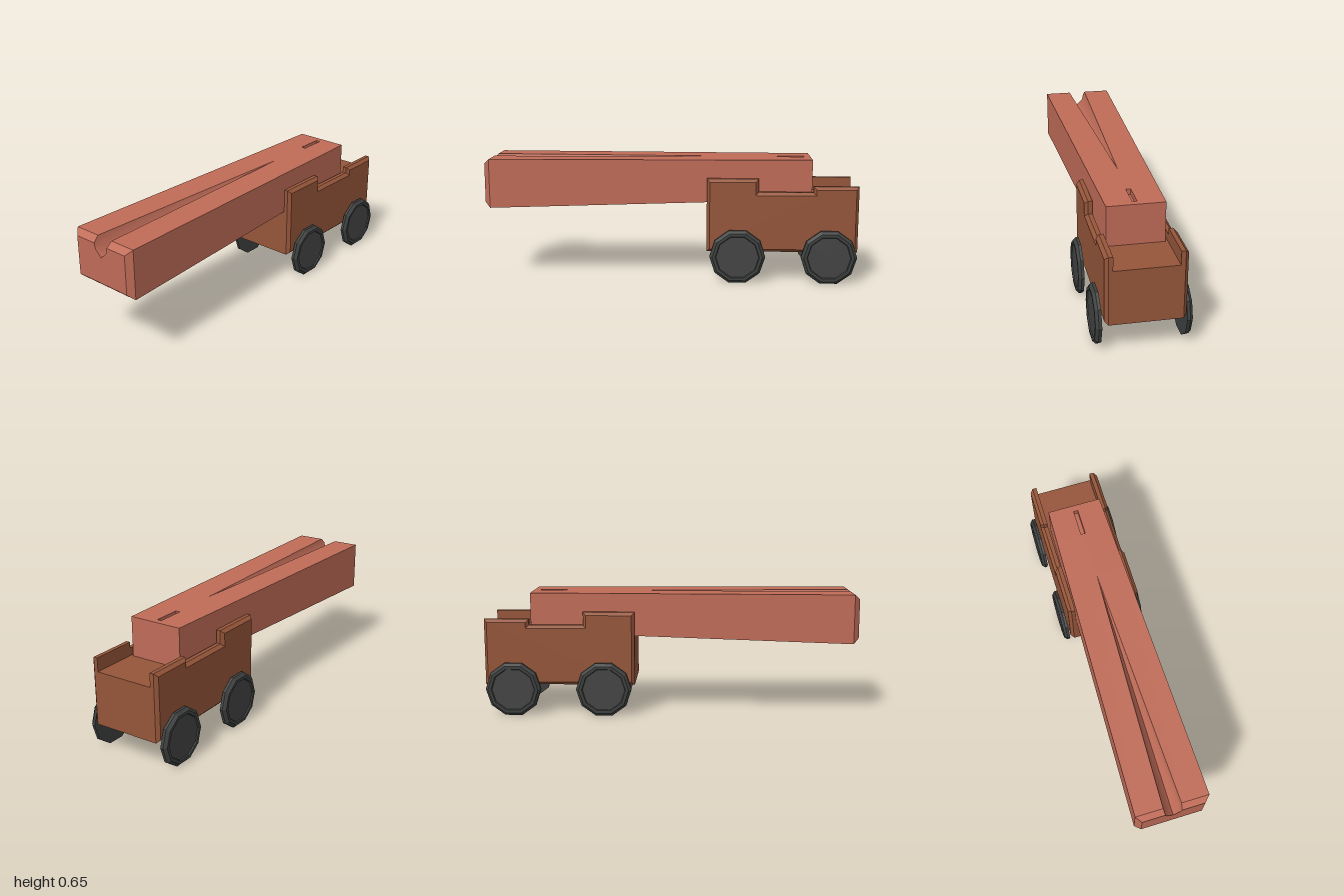
import * as THREE from 'three';
import { toCreasedNormals } from 'three/addons/utils/BufferGeometryUtils.js';

const mat = (color) => new THREE.MeshStandardMaterial({ color });

// Skin over cross-sections { z, pts } (counter-clockwise, z ascending), capped at both ends
function loft(rings) {
  const n = rings[0].pts.length;
  const pos = rings.flatMap(r => r.pts.flatMap(([x, y]) => [x, y, r.z]));
  const index = [];
  for (let r = 0; r < rings.length - 1; r++) {
    for (let i = 0; i < n; i++) {
      const a = r * n + i, b = r * n + (i + 1) % n;
      index.push(a, b, b + n, a, b + n, a + n);
    }
  }
  const cap = (r, flip) => {
    const pts = rings[r].pts.map(p => new THREE.Vector2(...p));
    for (const [a, b, c] of THREE.ShapeUtils.triangulateShape(pts, [])) {
      const o = r * n;
      index.push(o + a, o + (flip ? c : b), o + (flip ? b : c));
    }
  };
  cap(0, true);
  cap(rings.length - 1, false);
  const g = new THREE.BufferGeometry();
  g.setAttribute('position', new THREE.Float32BufferAttribute(pos, 3));
  g.setIndex(index);
  return toCreasedNormals(g, 0.7);
}

// Inset a right-angled, counter-clockwise outline
function inset(pts, d) {
  const n = pts.length;
  return pts.map((p, i) => {
    const q = pts[(i + n - 1) % n], s = pts[(i + 1) % n];
    const ax = Math.sign(p[0] - q[0]), ay = Math.sign(p[1] - q[1]);
    const bx = Math.sign(s[0] - p[0]), by = Math.sign(s[1] - p[1]);
    return [p[0] - (ay + by) * d, p[1] + (ax + bx) * d];
  });
}

// Tapered barrel block: groove = [top half width, mid half width, mid depth, bottom depth]
function barrelRing(z, groove, bevel = 0) {
  const t = (Math.min(z, 0.97) + 0.755) / 1.725;
  const hw = 0.145 + 0.046 * t - bevel;
  const bottom = 0.447 - 0.052 * t + bevel;
  const top = 0.658 - bevel;
  const [w, m, dm, d] = groove;
  return { z, pts: [
    [-hw, bottom], [hw, bottom], [hw, top],
    [w, top], [m, top - dm], [0, top - d], [-m, top - dm], [-w, top],
    [-hw, top],
  ] };
}

function buildBarrel() {
  const none = [0, 0, 0, 0], slot = [0.012, 0.012, 0.03, 0.03];
  const geometry = loft([
    barrelRing(-0.755, none),
    barrelRing(-0.72, none), barrelRing(-0.72, slot),
    barrelRing(-0.575, slot), barrelRing(-0.575, none),
    barrelRing(-0.32, none),
    barrelRing(0.97, [0.047, 0.036, 0.058, 0.094]),
    barrelRing(1, [0.043, 0.037, 0.03, 0.066], 0.028),
  ]);
  const mesh = new THREE.Mesh(geometry, mat(0xc06c58));
  mesh.name = 'barrel';
  return mesh;
}

// Notched side panel, chamfered around its outer face
function buildPanel(side, material) {
  const outline = [
    [0.195, 0.167], [1, 0.167], [1, 0.522], [0.76, 0.522],
    [0.76, 0.49], [0.47, 0.49], [0.47, 0.56], [0.195, 0.56],
  ];
  const rings = [
    { z: side * 0.158, pts: outline },
    { z: side * 0.18, pts: outline },
    { z: side * 0.197, pts: inset(outline, 0.016) },
  ];
  if (side < 0) rings.reverse();
  const mesh = new THREE.Mesh(loft(rings).rotateY(Math.PI / 2), material);
  mesh.name = side > 0 ? 'leftPanel' : 'rightPanel';
  return mesh;
}

// Ten-sided wheel with a bevelled rim and a shallow recessed face
function buildWheel(side, z, tyre, hub) {
  const wheel = new THREE.Group();
  const lathe = (pts) => new THREE.LatheGeometry(pts.map(p => new THREE.Vector2(...p)), 10)
    .toNonIndexed();
  const add = (name, pts, material) => {
    const g = lathe(pts);
    g.computeVertexNormals();
    const mesh = new THREE.Mesh(g, material);
    mesh.name = name;
    wheel.add(mesh);
  };
  add('tyre', [[0, 0], [0.149, 0], [0.149, 0.015], [0.134, 0.03], [0.118, 0.03], [0.114, 0.024]], tyre);
  add('wheelFace', [[0.114, 0.024], [0, 0.024]], hub);
  wheel.rotation.z = -side * Math.PI / 2;
  wheel.rotation.order = 'XYZ';
  for (const m of wheel.children) m.geometry.rotateY(Math.PI / 2 * 2);
  wheel.position.set(side * 0.204, 0.1465, z);
  wheel.name = (z > -0.6 ? 'front' : 'rear') + (side > 0 ? 'Left' : 'Right') + 'Wheel';
  return wheel;
}

export function createModel() {
  const model = new THREE.Group();
  model.name = 'wheeledCannon';
  const wood = mat(0x96563a), tyre = mat(0x3e4040), hub = mat(0x444444);

  const upper = new THREE.Group();
  upper.name = 'cannonBody';
  upper.position.x = -0.003;
  upper.add(buildBarrel());

  // Carriage bed between the panels
  const bed = new THREE.Mesh(new THREE.BoxGeometry(0.316, 0.283, 0.805), wood);
  bed.name = 'carriageBed';
  bed.position.set(0, 0.167 + 0.1415, -0.5975);
  upper.add(bed);
  model.add(upper);

  for (const side of [1, -1]) {
    upper.add(buildPanel(side, wood));
    for (const z of [-0.36, -0.846]) model.add(buildWheel(side, z, tyre, hub));
  }
  return model;
}
